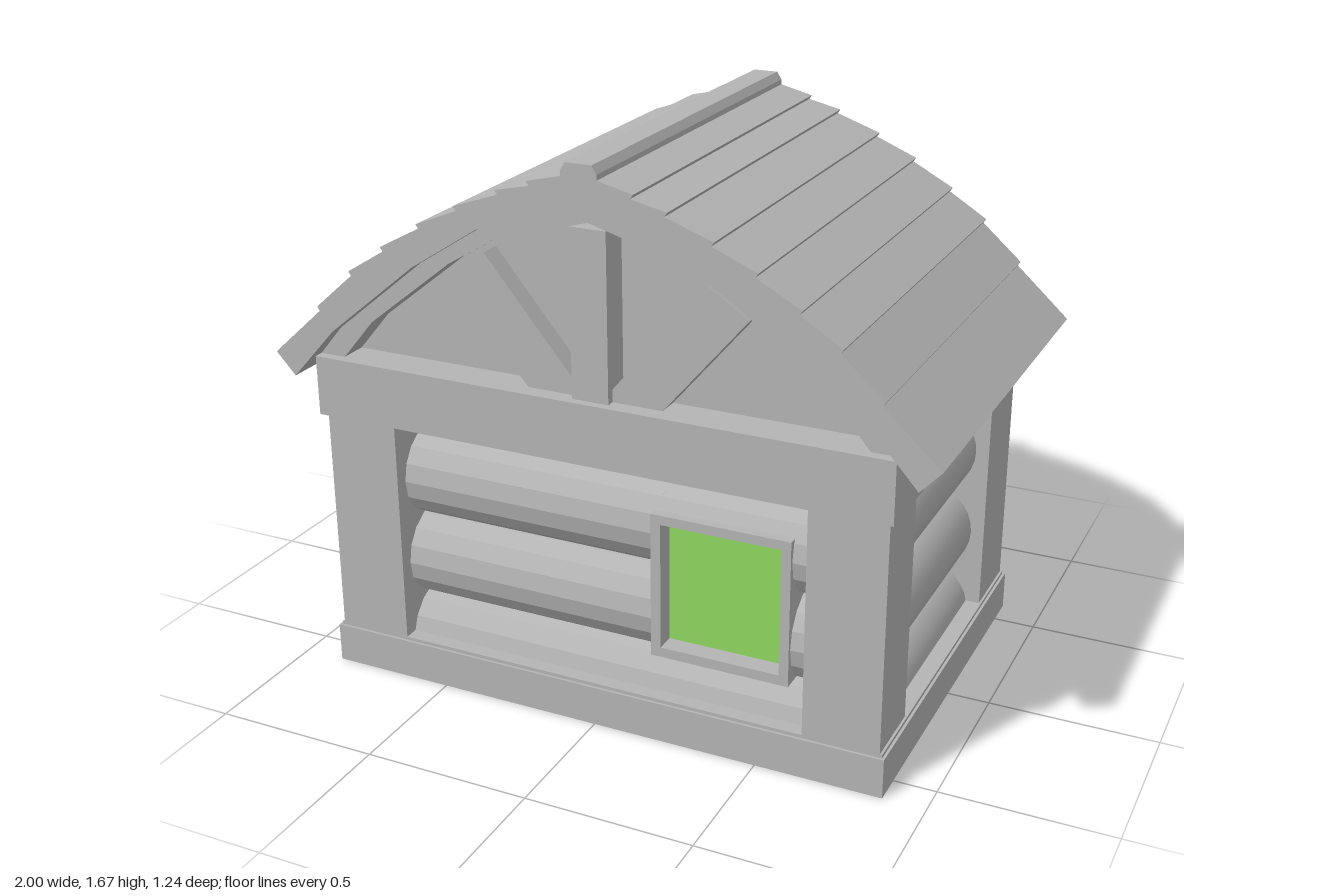
import * as THREE from 'three';
import { toCreasedNormals } from 'three/addons/utils/BufferGeometryUtils.js';

const grey = new THREE.MeshStandardMaterial({ color: 0xb4b4b4 });
grey.name = 'wood grey';
const green = new THREE.MeshStandardMaterial({ color: 0x8fd85f });
green.name = 'window green';

export function createModel() {
  const house = new THREE.Group();
  house.name = 'logCabin';

  const add = (name, geometry, material = grey) => {
    const mesh = new THREE.Mesh(geometry, material);
    mesh.name = name;
    house.add(mesh);
    return mesh;
  };
  // Box given by its limits on each axis
  const box = (name, x0, x1, y0, y1, z0, z1, material) => {
    const g = new THREE.BoxGeometry(x1 - x0, y1 - y0, z1 - z0);
    g.translate((x0 + x1) / 2, (y0 + y1) / 2, (z0 + z1) / 2);
    return add(name, g, material);
  };
  const toShape = (pts) => new THREE.Shape(pts.map(([x, y]) => new THREE.Vector2(x, y)));
  // Outline in x,y extruded from z0 to z1
  const prism = (shape, z0, z1) => {
    const g = new THREE.ExtrudeGeometry(shape, { depth: z1 - z0, bevelEnabled: false });
    return g.translate(0, 0, z0);
  };
  // Full outline from its right half, listed from the centre outwards
  const mirror = (half) => [
    ...half.slice().reverse().map(([x, y]) => [-x, y]),
    ...half.filter(([x]) => x > 0),
  ];
  const rect = (x0, x1, y0, y1) => [[x0, y0], [x1, y0], [x1, y1], [x0, y1]];
  // Flat rectangular ring lying in the xz plane
  const ring = (name, x, z, width, y0, y1) => {
    const s = toShape(rect(-x, x, -z, z));
    s.holes.push(toShape(rect(-x + width, x - width, -z + width, z - width)));
    add(name, prism(s, y0, y1).rotateX(-Math.PI / 2));
  };
  // Log cross-section: a circle, or a part of one closed by a chord (degrees)
  const R = 0.14;
  const logShape = (cx, cy, segments, from = 0, to = 360) => {
    const pts = [];
    const n = Math.max(4, Math.round((segments * (to - from)) / 360));
    for (let i = 0; i < (to - from === 360 ? n : n + 1); i++) {
      const a = THREE.MathUtils.degToRad(from + ((to - from) * i) / n);
      pts.push([cx + R * Math.cos(a), cy + R * Math.sin(a)]);
    }
    return toShape(pts);
  };

  // Open-bottomed base with a narrow stepped ledge
  ring('baseWall', 0.875, 0.593, 0.02, 0, 0.12);
  ring('baseLedge', 0.867, 0.585, 0.32, 0.115, 0.13);

  // Corner posts
  for (const s of [-1, 1]) {
    const [x0, x1] = s > 0 ? [0.635, 0.86] : [-0.86, -0.635];
    box('frontPost', x0, x1, 0.125, 0.83, 0.375, 0.585);
    box('backPost', x0, x1, 0.125, 0.83, -0.58, -0.345);
    const [b0, b1] = s > 0 ? [0.64, 0.862] : [-0.862, -0.64];
    box('sideBeam', b0, b1, 0.82, 0.99, -0.35, 0.37);
  }
  box('frontBeam', -0.875, 0.875, 0.82, 1.0, 0.36, 0.605);
  box('backBeam', -0.875, 0.875, 0.82, 1.0, -0.59, -0.34);

  // Faceted front logs, parted around the window
  const frontLog = (cy, x0, x1, from, to) =>
    add('frontLog', prism(logShape(-0.405, cy, 16, from, to), x0, x1).rotateY(Math.PI / 2));
  frontLog(0.1, -0.65, 0.65, 8, 172);
  for (const cy of [0.36, 0.625]) {
    frontLog(cy, -0.65, 0.18);
    frontLog(cy, 0.565, 0.65);
  }
  frontLog(0.36, 0.18, 0.565, 232, 308);
  frontLog(0.625, 0.18, 0.565, 22, 158);
  frontLog(0.89, -0.65, 0.65);

  // Smooth side logs
  for (const s of [-1, 1]) {
    for (const [cy, from, to] of [[0.105, 8, 172], [0.368, 0, 360], [0.635, 0, 360], [0.9, 0, 360]]) {
      const g = prism(logShape(s * 0.68, cy, 28, from, to), -0.36, 0.39);
      add('sideLog', toCreasedNormals(g, 0.6));
    }
  }

  // Plain back wall
  box('backWall', -0.65, 0.65, 0.125, 0.83, -0.555, -0.52);

  // Window
  const frame = toShape(rect(0.165, 0.58, 0.25, 0.69));
  frame.holes.push(toShape(rect(0.195, 0.552, 0.28, 0.662)));
  add('windowFrame', prism(frame, 0.4, 0.555));
  box('windowPane', 0.19, 0.557, 0.275, 0.667, 0.488, 0.496, green);

  // Curved roof with overlapping planks; each entry is a plank's lower edge
  const under = [[0, 1.555], [0.31, 1.455], [0.52, 1.32], [0.8, 1.09], [0.94, 0.935]];
  const edges = [[0.155, 1.605], [0.25, 1.57], [0.38, 1.51], [0.5, 1.445],
    [0.62, 1.365], [0.73, 1.28], [0.845, 1.16], [1.0, 1.0]];
  const top = [[0, 1.668], [0.038, 1.668], [0.053, 1.645], [0.053, 1.63]];
  edges.forEach(([x, y], i) => {
    top.push([x, y]);
    if (i < edges.length - 1) top.push([x - 0.008, y - 0.012]);
  });
  add('roof', prism(toShape([...mirror(top), ...mirror(under).reverse()]), -0.62, 0.62));

  // Gable panels and arched trims at both ends
  const outer = [...under.slice(0, 4), [0.88, 0.995]];
  const inner = [[0, 1.5], [0.28, 1.42], [0.43, 1.33], [0.695, 1.12], [0.8, 0.995]];
  const trim = toShape([...mirror(outer), ...mirror(inner).reverse()]);
  const panel = toShape(mirror(outer));
  add('frontArch', prism(trim, 0.45, 0.575));
  add('backArch', prism(trim, -0.575, -0.5));
  add('frontGable', prism(panel, 0.46, 0.49));
  add('backGable', prism(panel, -0.555, -0.52));

  // Gable struts
  box('centreStrut', -0.055, 0.055, 0.99, 1.485, 0.48, 0.58);
  for (const s of [-1, 1]) {
    const pts = [[0.45, 1.29], [0.33, 1.37], [0.05, 1.03], [0.05, 0.995], [0.2, 0.995]];
    add('diagonalStrut', prism(toShape(pts.map(([x, y]) => [s * x, y])), 0.48, 0.555));
  }

  return house;
}
